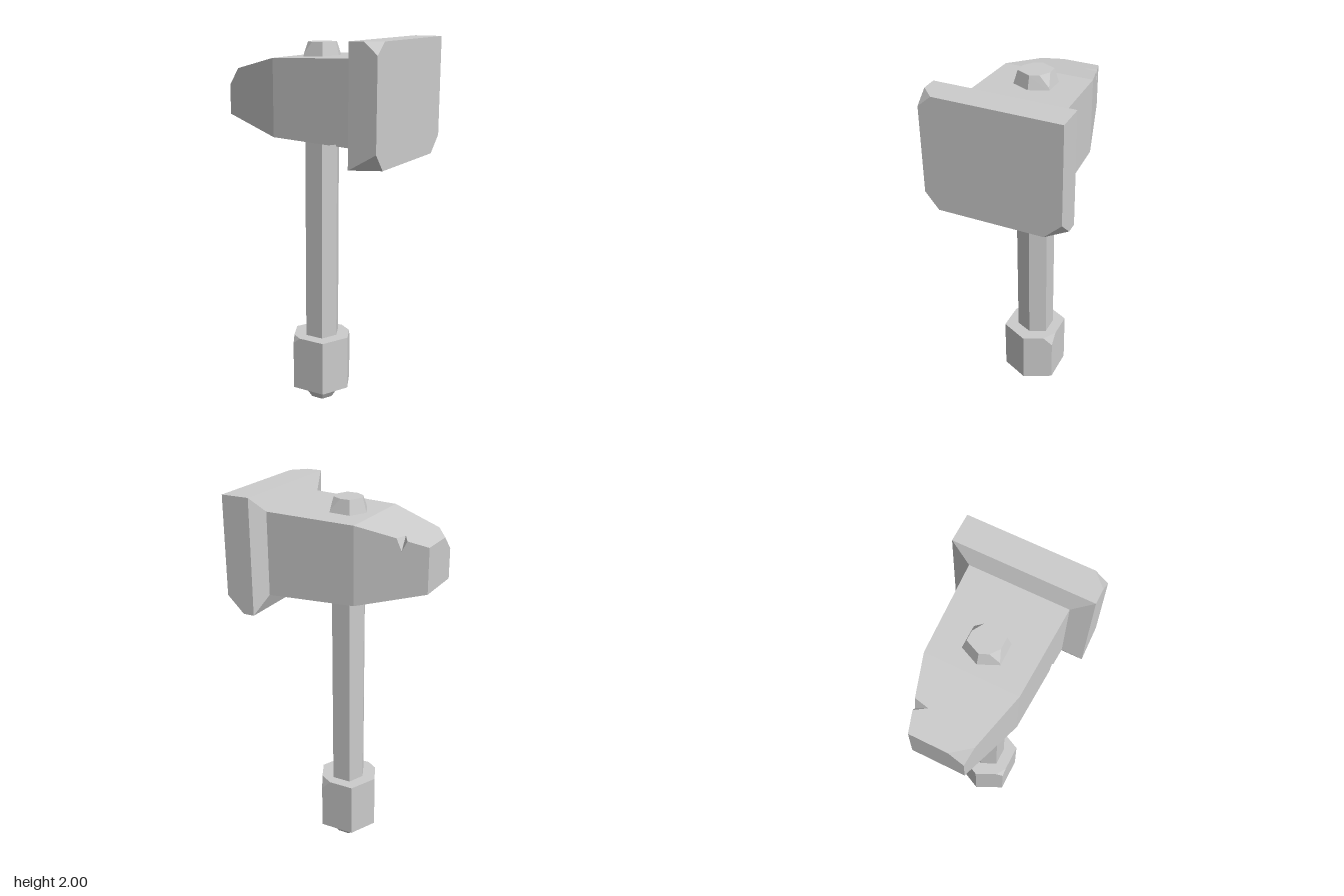
import * as THREE from 'three';
import { ConvexGeometry } from 'three/addons/geometries/ConvexGeometry.js';

const V = (x, y, z) => new THREE.Vector3(x, y, z);
const material = new THREE.MeshStandardMaterial({ color: 0xcccccc, flatShading: true });

function addPart(group, name, geometry) {
  const mesh = new THREE.Mesh(geometry, material);
  mesh.name = name;
  group.add(mesh);
}

// Points of a six-sided prism; rows are [y, radius in x, radius in z]
function hexRows(rows, cx = 0, cz = 0) {
  const ring = [[1, 0], [0.57, 1], [-0.57, 1], [-1, 0], [-0.57, -1], [0.57, -1]];
  return rows.flatMap(([y, rx, rz]) => ring.map(([a, b]) => V(cx + a * rx, y, cz + b * rz)));
}

// Knocks corners off: each cut is [corner, [neighbour, distance], ...]
function chip(points, cuts) {
  const corners = cuts.map((c) => c[0]);
  const kept = points.filter((p, i) => !corners.includes(i));
  for (const [corner, ...edges] of cuts) {
    for (const [to, distance] of edges) {
      const dir = points[to].clone().sub(points[corner]).normalize();
      kept.push(points[corner].clone().addScaledVector(dir, distance));
    }
  }
  return kept;
}

// Tapered hammer body with a chipped corner and two notched edges
function headBody() {
  const xs = [-0.5, -0.155, 0.315];
  const heights = [0.115, 0.2, 0.215], depths = [0.136, 0.235, 0.253];
  const along = (list, x) => {
    const i = x < xs[1] ? 0 : 1;
    return THREE.MathUtils.lerp(list[i], list[i + 1], (x - xs[i]) / (xs[i + 1] - xs[i]));
  };
  const edge = (x, sy, sz) => V(x, 1.7 + sy * along(heights, x), sz * along(depths, x));
  const onTop = (x, sy, z) => V(x, 1.7 + sy * along(heights, x), z);
  const onSide = (x, y, sz) => V(x, y, sz * along(depths, x));

  const centre = V(0, 1.7, 0), positions = [];
  const triangle = (a, b, c, ref, sign) => {
    const n = b.clone().sub(a).cross(c.clone().sub(a));
    const ok = n.dot(ref.clone().sub(a)) * sign > 0;
    for (const p of ok ? [a, b, c] : [a, c, b]) positions.push(p.x, p.y, p.z);
  };
  // Flat polygon facing away from the centre, triangulated in the given plane
  const face = (u, v, pts) => {
    const flat = pts.map((p) => new THREE.Vector2(p[u], p[v]));
    for (const [a, b, c] of THREE.ShapeUtils.triangulateShape(flat, [])) {
      triangle(pts[a], pts[b], pts[c], centre, -1);
    }
  };
  const notch = (e1, e2, a, b) => {
    triangle(e1, a, b, e2, 1);
    triangle(e2, a, b, e1, 1);
  };

  const [x0, x1, x2] = xs;
  // Corner chip at the narrow end
  const c1 = onSide(x0, 1.74, 1), c2 = edge(-0.43, 1, 1), c3 = onTop(x0, 1, 0.06);
  // Notch in the upper back edge
  const b1 = edge(-0.4, 1, -1), b2 = edge(-0.35, 1, -1);
  const bTop = onTop(-0.365, 1, -0.105), bSide = onSide(-0.375, 1.79, -1);
  // Notch in the lower front edge
  const f1 = edge(0.18, -1, 1), f2 = edge(0.225, -1, 1);
  const fLow = onTop(0.2, -1, 0.2), fSide = onSide(0.205, 1.53, 1);

  face('x', 'z', [c3, c2, edge(x1, 1, 1), edge(x1, 1, -1), b2, bTop, b1, edge(x0, 1, -1)]);
  face('x', 'z', [edge(x1, 1, 1), edge(x2, 1, 1), edge(x2, 1, -1), edge(x1, 1, -1)]);
  face('x', 'z', [edge(x0, -1, 1), edge(x1, -1, 1), edge(x1, -1, -1), edge(x0, -1, -1)]);
  face('x', 'z', [edge(x1, -1, 1), f1, fLow, f2, edge(x2, -1, 1), edge(x2, -1, -1), edge(x1, -1, -1)]);
  face('x', 'y', [c1, c2, edge(x1, 1, 1), edge(x1, -1, 1), edge(x0, -1, 1)]);
  face('x', 'y', [edge(x1, 1, 1), edge(x2, 1, 1), edge(x2, -1, 1), f2, fSide, f1, edge(x1, -1, 1)]);
  face('x', 'y', [edge(x0, 1, -1), b1, bSide, b2, edge(x1, 1, -1), edge(x1, -1, -1), edge(x0, -1, -1)]);
  face('x', 'y', [edge(x1, 1, -1), edge(x2, 1, -1), edge(x2, -1, -1), edge(x1, -1, -1)]);
  face('z', 'y', [c1, c3, edge(x0, 1, -1), edge(x0, -1, -1), edge(x0, -1, 1)]);
  triangle(c1, c2, c3, centre, -1);
  notch(b1, b2, bTop, bSide);
  notch(f1, f2, fLow, fSide);

  const geometry = new THREE.BufferGeometry();
  geometry.setAttribute('position', new THREE.Float32BufferAttribute(positions, 3));
  geometry.computeVertexNormals();
  return geometry;
}

// Flared striking plate with three broken corners
function strikingPlate() {
  const sections = [[0.315, 0.215, 0.253], [0.35, 0.3, 0.355], [0.5, 0.3, 0.355]];
  const signs = [[1, 1], [1, -1], [-1, -1], [-1, 1]];
  const points = sections.flatMap(([x, h, d]) => signs.map(([a, b]) => V(x, 1.7 + a * h, b * d)));
  return new ConvexGeometry(chip(points, [
    [8, [9, 0.07], [11, 0.06], [4, 0.07]],
    [11, [8, 0.087], [10, 0.07], [7, 0.148]],
    [10, [9, 0.087], [11, 0.09], [6, 0.09]],
  ]));
}

export function createModel() {
  const model = new THREE.Group();
  model.name = 'warHammer';

  // Head
  const head = new THREE.Group();
  head.name = 'head';
  addPart(head, 'headBody', headBody());
  addPart(head, 'strikingPlate', strikingPlate());
  const pin = hexRows([[1.9, 0.1, 0.096], [1.975, 0.08, 0.076]], -0.005);
  pin.push(...hexRows([[1.87, 0.1, 0.096]], -0.005));
  addPart(head, 'topPin', new ConvexGeometry(chip(pin, [
    [8, [7, 0.03], [9, 0.037], [2, 0.06]],
    [11, [10, 0.04], [6, 0.035], [5, 0.06]],
  ])));
  model.add(head);

  // Handle
  const handle = new THREE.Group();
  handle.name = 'handle';
  addPart(handle, 'shaft', new ConvexGeometry(hexRows([[0.36, 0.09, 0.087], [1.6, 0.09, 0.087]], -0.005, 0.002)));
  addPart(handle, 'pommel', new ConvexGeometry(chip(
    hexRows([[0.08, 0.165, 0.148], [0.38, 0.165, 0.148]], -0.005, 0.006), [
      [8, [7, 0.04], [9, 0.04], [2, 0.035]],
      [11, [6, 0.05], [10, 0.05], [5, 0.055]],
    ])));
  addPart(handle, 'pommelTip', new ConvexGeometry(hexRows([[0, 0.06, 0.058], [0.08, 0.113, 0.1]], -0.003, 0.003)));
  model.add(handle);

  return model;
}
